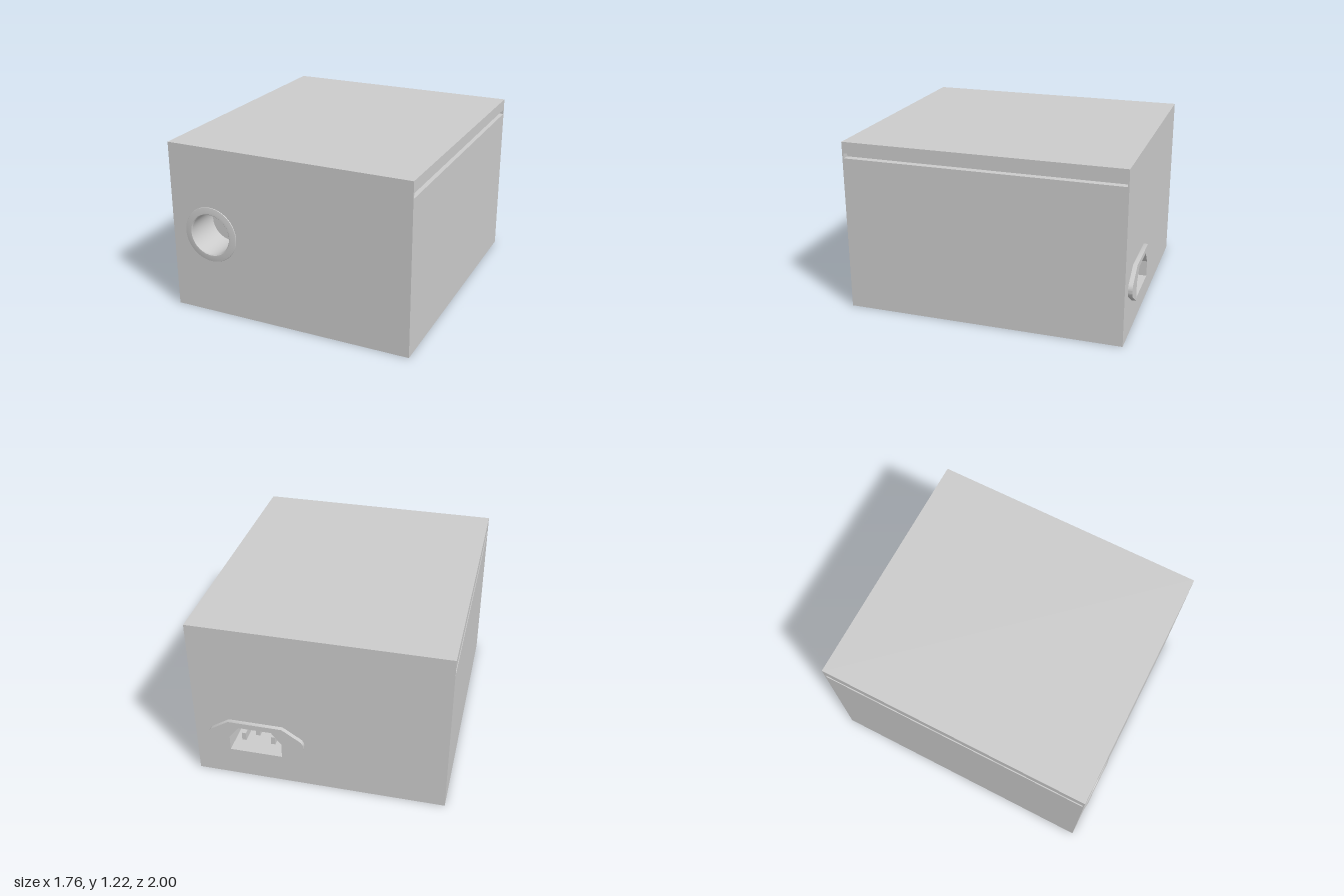
import * as THREE from 'three';
import { toCreasedNormals } from 'three/addons/utils/BufferGeometryUtils.js';

const W = 0.88, H = 1.215, FRONT = 0.99, BACK = -0.97, PANEL = 0.01;
const PORT = [-0.58, 0.59], SOCKET = [0.44, 0.35];

export function createModel() {
  const model = new THREE.Group();
  const material = new THREE.MeshStandardMaterial({ color: 0xcccccc, side: THREE.DoubleSide });

  const add = (name, geometry, x = 0, y = 0, z = 0, parent = model) => {
    const mesh = new THREE.Mesh(geometry, material);
    mesh.name = name;
    mesh.position.set(x, y, z);
    parent.add(mesh);
    return mesh;
  };
  const polygon = (points, Type = THREE.Shape) =>
    new Type(points.map(([x, y]) => new THREE.Vector2(x, y)));
  const extrude = (shape, depth) => toCreasedNormals(
    new THREE.ExtrudeGeometry(shape, { depth, bevelEnabled: false, curveSegments: 24 }), 0.6);
  const rect = (w, y0, y1) => [[-w, y0], [w, y0], [w, y1], [-w, y1]];

  // Opening of the power socket, upper corners cut off
  const opening = (s = 1, cx = 0, cy = 0) => [
    [-0.185, -0.11], [0.185, -0.11], [0.185, 0], [0.115, 0.09], [-0.115, 0.09], [-0.185, 0],
  ].map(([x, y]) => [cx + x * s, cy + y * s]);

  // Hollow case with a groove under the lid on both sides
  const groove = W - 0.05;
  const side = [[W, 0], [W, 1.1], [groove, 1.1], [groove, 1.135], [W, 1.135], [W, H]];
  const profile = polygon([...side, ...side.map(([x, y]) => [-x, y]).reverse()]);
  profile.holes.push(polygon(rect(W - 0.08, 0.03, H - 0.03), THREE.Path));
  add('case', extrude(profile, FRONT - BACK - 2 * PANEL), 0, 0, BACK + PANEL);

  // Front panel with round hole
  const frontShape = polygon(rect(W, 0, H));
  frontShape.holes.push(new THREE.Path().absarc(...PORT, 0.16, 0, Math.PI * 2, true));
  add('frontPanel', extrude(frontShape, PANEL), 0, 0, FRONT - PANEL);

  // Back panel with socket cutout
  const backShape = polygon(rect(W, 0, H));
  backShape.holes.push(polygon(opening(1.05, ...SOCKET), THREE.Path));
  add('backPanel', extrude(backShape, PANEL), 0, 0, BACK);

  // Round port: thin flange, rim and recessed tube with a floor
  const port = [[0.2, 0], [0.198, 0.004], [0.165, 0.01], [0.152, 0.01], [0.146, 0.004],
    [0.145, -0.25], [0, -0.25]].map(([r, y]) => new THREE.Vector2(r, y));
  const portGeometry = new THREE.LatheGeometry(port, 48).rotateX(Math.PI / 2);
  add('roundPort', toCreasedNormals(portGeometry, 0.6), PORT[0], PORT[1], FRONT);

  // Power socket: flange, sleeve, floor and three blades
  const socket = new THREE.Group();
  socket.name = 'powerSocket';
  socket.position.set(SOCKET[0], SOCKET[1], BACK);
  model.add(socket);

  const flange = new THREE.Shape();
  flange.moveTo(-0.19, 0.13);
  flange.lineTo(0.19, 0.13);
  flange.absarc(0.28, 0, 0.06, 1, -1, true);
  flange.lineTo(0.19, -0.13);
  flange.lineTo(-0.19, -0.13);
  flange.absarc(-0.28, 0, 0.06, Math.PI + 1, Math.PI - 1, true);
  flange.closePath();
  flange.holes.push(polygon(opening(), THREE.Path));
  add('socketFlange', extrude(flange, 0.03), 0, 0, -0.03, socket);

  const sleeve = polygon(opening(1.05));
  sleeve.holes.push(polygon(opening(), THREE.Path));
  add('socketSleeve', extrude(sleeve, 0.22), 0, 0, 0, socket);
  add('socketFloor', extrude(polygon(opening(1.05)), 0.02), 0, 0, 0.21, socket);

  for (const [x, y] of [[0, 0.025], [-0.105, -0.035], [0.105, -0.035]]) {
    add('socketBlade', new THREE.BoxGeometry(0.03, 0.06, 0.18), x, y, 0.125, socket);
  }

  return model;
}
